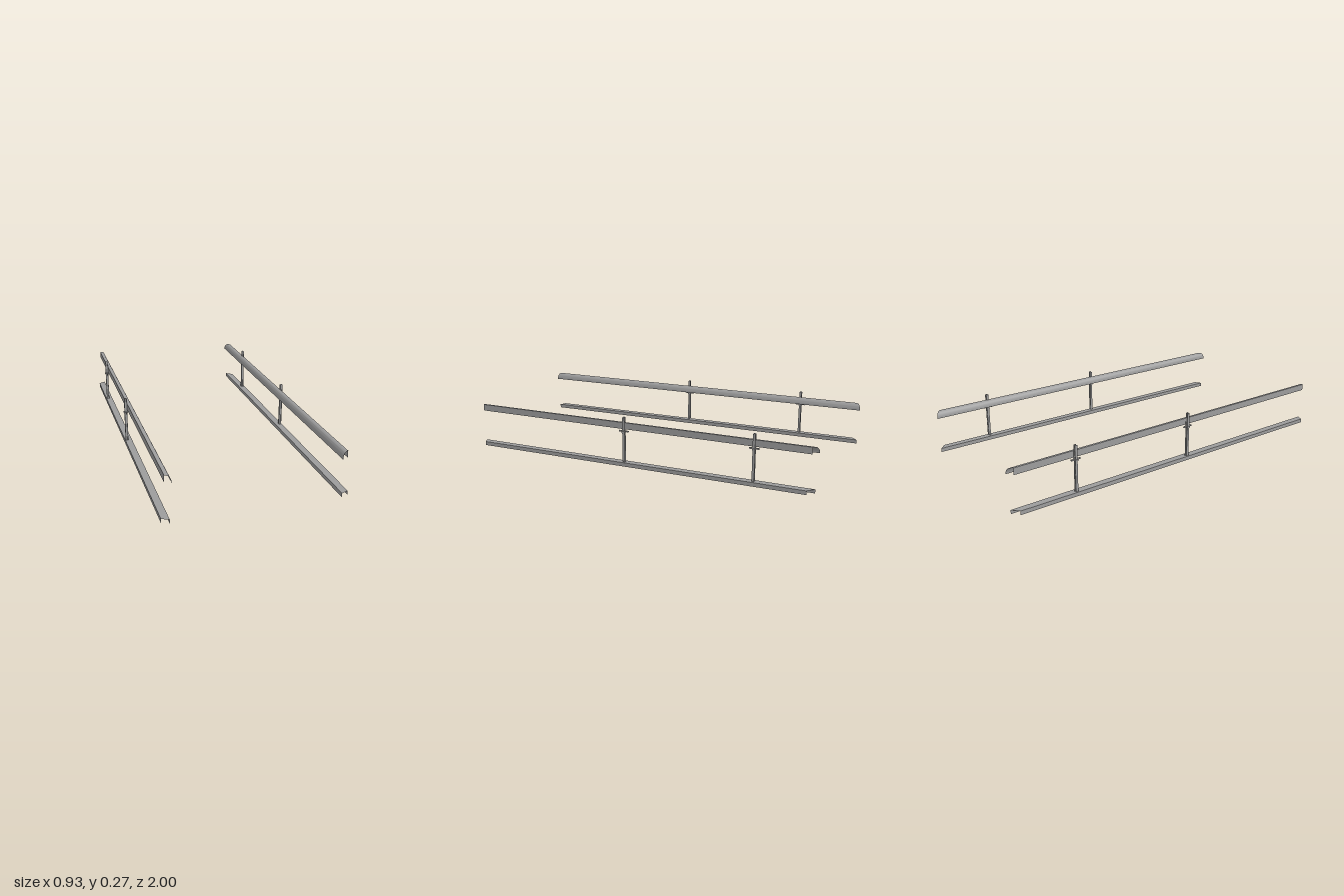
import * as THREE from 'three';
import { toCreasedNormals } from 'three/addons/utils/BufferGeometryUtils.js';

const steel = new THREE.MeshStandardMaterial({ color: 0x9c9c9c, side: THREE.DoubleSide });
steel.name = 'grey steel';

// Thin sheet swept between two mitred ends; profile points are [distance from centre, height]
function sheet(name, profile, side, ends) {
  const pos = [], index = [];
  for (const [x, y] of profile) {
    for (const end of ends) {
      pos.push(side * (x + end.shift), y, end.z + end.slope * (0.46 - x - end.shift));
    }
  }
  for (let i = 0; i < profile.length - 1; i++) {
    const a = i * 2;
    if (side > 0) index.push(a, a + 1, a + 2, a + 1, a + 3, a + 2);
    else index.push(a, a + 2, a + 1, a + 1, a + 2, a + 3);
  }
  const geo = new THREE.BufferGeometry();
  geo.setAttribute('position', new THREE.Float32BufferAttribute(pos, 3));
  geo.setIndex(index);
  const mesh = new THREE.Mesh(toCreasedNormals(geo, 0.6), steel);
  mesh.name = name;
  return mesh;
}

function box(name, w, h, d, x, y, z) {
  const mesh = new THREE.Mesh(new THREE.BoxGeometry(w, h, d), steel);
  mesh.name = name;
  mesh.position.set(x, y, z);
  return mesh;
}

// Upright H-section post with its cross clamp
function post(x, z) {
  const g = new THREE.Group();
  g.name = 'post';
  for (const s of [-1, 1]) g.add(box('postFlange', 0.003, 0.243, 0.013, s * 0.0055, 0.1435, 0));
  g.add(box('postWeb', 0.008, 0.246, 0.004, 0, 0.145, 0));
  g.add(box('clampBlock', 0.021, 0.009, 0.016, 0, 0.188, 0));
  g.add(box('clampBar', 0.006, 0.007, 0.053, 0, 0.191, 0));
  g.position.set(x, 0, z);
  return g;
}

export function createModel() {
  const model = new THREE.Group();
  model.name = 'railPair';

  // Handrail: outer plate, narrow flat top, rounded inner face
  const handrail = [[0.443, 0.2], [0.443, 0.235], [0.434, 0.235]];
  for (let i = 1; i <= 8; i++) {
    const a = (i / 8) * Math.PI / 2;
    handrail.push([0.434 - 0.022 * Math.sin(a), 0.2 + 0.035 * Math.cos(a)]);
  }
  // Floor channel: upside-down U
  const channel = [[0.46, 0], [0.46, 0.021], [0.423, 0.021], [0.423, 0]];

  // The two runs differ a little in length, mitre and skew
  const runs = [
    { name: 'rightRun', side: -1, postX: 0.453, ends: [
      { z: -0.967, slope: -0.82, shift: 0.004 },
      { z: 0.972, slope: 0.45, shift: 0.0005 }] },
    { name: 'leftRun', side: 1, postX: 0.449, ends: [
      { z: -0.925, slope: -0.92, shift: 0.007 },
      { z: 0.938, slope: 0.53, shift: -0.004 }] },
  ];
  for (const { name, side, postX, ends } of runs) {
    const run = new THREE.Group();
    run.name = name;
    run.add(sheet('handrail', handrail, side, ends));
    run.add(sheet('floorChannel', channel, side, ends));
    for (const z of [0.055, -0.65]) run.add(post(side * postX, z));
    model.add(run);
  }
  return model;
}
